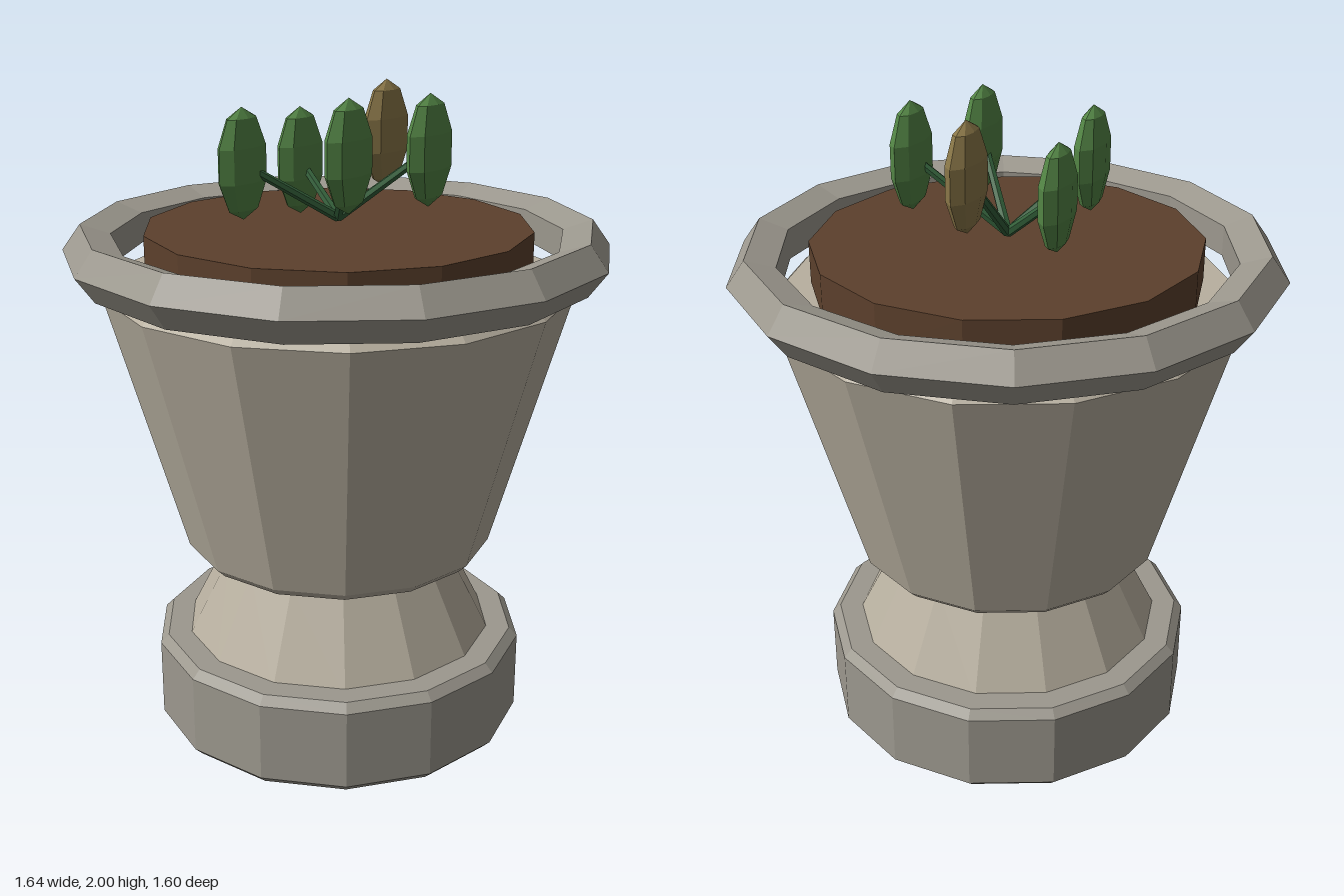
import * as THREE from 'three';

const SIDES = 14;

function material(color) {
  return new THREE.MeshStandardMaterial({ color, flatShading: true });
}

const stone = material(0xb8b0a0);
const trim = material(0x9c988e);
const earth = material(0x5c402c);
const stemGreen = material(0x33603a);
const leafGreen = material(0x538545);
const leafOlive = material(0x8a7748);

function add(parent, name, geometry, mat) {
  const mesh = new THREE.Mesh(geometry, mat);
  mesh.name = name;
  parent.add(mesh);
  return mesh;
}

// Closed faceted drum with chamfered edges, from y0 (radius r0) to y1 (radius r1)
function drum(y0, r0, y1, r1, bevel = 0.026) {
  const points = [
    [0, y0], [r0 - bevel, y0], [r0, y0 + bevel],
    [r1, y1 - bevel], [r1 - bevel, y1], [0, y1],
  ].map(([r, y]) => new THREE.Vector2(r, y));
  return new THREE.LatheGeometry(points, SIDES);
}

// Stem running from the soil to a flattened faceted leaf
function sprout([x, y, z], mat) {
  const group = new THREE.Group();
  const root = new THREE.Vector3(0, 1.615, 0);
  const tip = new THREE.Vector3(x, y, z);
  const dir = tip.clone().sub(root);
  const stem = add(group, 'stem', new THREE.CylinderGeometry(0.012, 0.015, dir.length(), 6), stemGreen);
  stem.position.copy(root).add(tip).multiplyScalar(0.5);
  stem.quaternion.setFromUnitVectors(new THREE.Vector3(0, 1, 0), dir.normalize());

  const leaf = add(group, 'leaf', new THREE.SphereGeometry(1, 8, 5), mat);
  leaf.scale.set(0.107, 0.162, 0.045);
  leaf.position.copy(tip);
  return group;
}

export function createModel() {
  const model = new THREE.Group();
  model.name = 'plantedUrn';

  // Pedestal and bowl
  add(model, 'base', drum(0, 0.585, 0.298, 0.585), trim);
  add(model, 'neck', drum(0.25, 0.496, 0.58, 0.355), stone);
  add(model, 'bowl', drum(0.578, 0.48, 1.437, 0.708), stone);

  // Rim ring with a five-sided section
  const rim = add(model, 'rim', new THREE.TorusGeometry(0.741, 0.08, 5, SIDES), trim);
  rim.rotation.x = Math.PI / 2;
  rim.position.y = 1.525;

  // Soil disc
  const soil = add(model, 'soil', new THREE.CylinderGeometry(0.582, 0.582, 0.13, SIDES), earth);
  soil.position.y = 1.527;

  // Sprouts fanning out from the centre
  const plant = new THREE.Group();
  plant.name = 'plant';
  const leaves = [
    [-0.24, 1.79, -0.165], [0.045, 1.76, -0.175], [0.205, 1.84, 0.03],
    [-0.163, 1.832, 0.155], [0.068, 1.83, 0.273],
  ];
  leaves.forEach((p, i) => {
    const s = sprout(p, i === 2 ? leafOlive : leafGreen);
    s.name = 'sprout' + (i + 1);
    plant.add(s);
  });
  model.add(plant);
  return model;
}
